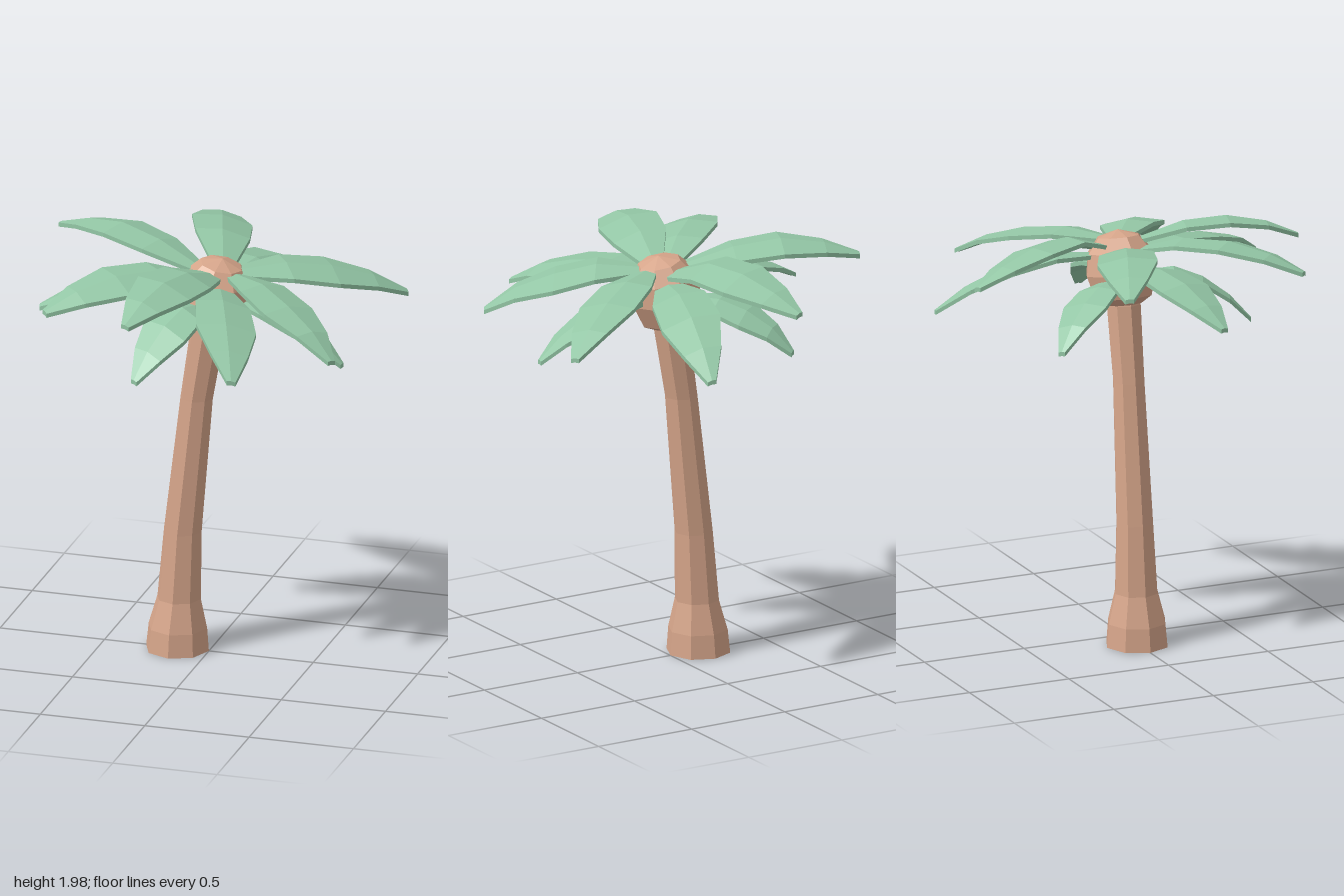
import * as THREE from 'three';

const bark = new THREE.MeshStandardMaterial({ color: 0xd6a58a, flatShading: true, side: THREE.DoubleSide });
const green = new THREE.MeshStandardMaterial({ color: 0x93c6a5, flatShading: true });

// Skin a list of closed rings (arrays of Vector3), optionally capping both ends
function loft(rings, capped) {
  const n = rings[0].length, pts = [];
  for (let i = 0; i < rings.length - 1; i++) {
    for (let j = 0; j < n; j++) {
      const k = (j + 1) % n;
      const a = rings[i][j], b = rings[i + 1][j], c = rings[i + 1][k], d = rings[i][k];
      pts.push(a, b, d, b, c, d);
    }
  }
  if (capped) {
    const first = rings[0], last = rings[rings.length - 1];
    for (let k = 1; k < n - 1; k++) {
      pts.push(first[0], first[k], first[k + 1], last[0], last[k + 1], last[k]);
    }
  }
  const geometry = new THREE.BufferGeometry().setFromPoints(pts);
  geometry.computeVertexNormals();
  return geometry;
}

// Horizontal octagon
function octagon(x, y, r) {
  return Array.from({ length: 8 }, (_, i) => {
    const a = (i * Math.PI) / 4;
    return new THREE.Vector3(x + r * Math.cos(a), y, r * Math.sin(a));
  });
}

// Frond: thin creased blade from base [x, z] to tip [x, z], with heights along its length
const STATIONS = [0, 0.28, 0.55, 0.8, 1];
const HALF_WIDTHS = [0.05, 0.125, 0.138, 0.088, 0.02];
const CROWN_TILT = 0.22;
const THICKNESS = 0.02;

function frondGeometry(base, tip, heights, widthScale) {
  const dx = tip[0] - base[0], dz = tip[1] - base[1], len = Math.hypot(dx, dz);
  const sx = dz / len, sz = -dx / len;
  const rings = STATIONS.map((t, i) => {
    const w = HALF_WIDTHS[i] * widthScale;
    const at = (s, drop) => new THREE.Vector3(
      base[0] + dx * t + sx * w * s,
      heights[i] - CROWN_TILT * sx * w * s - Math.abs(s) * w * 0.18 - drop,
      base[1] + dz * t + sz * w * s
    );
    return [at(-1, 0), at(0, 0), at(1, 0), at(1, THICKNESS), at(0, THICKNESS), at(-1, THICKNESS)];
  });
  return loft(rings, true);
}

export function createModel() {
  const palm = new THREE.Group();
  palm.name = 'palmTree';

  // Leaning trunk, flared at the foot: [centre x, y, radius]
  const trunkRings = [
    [-0.15, 0, 0.15], [-0.148, 0.11, 0.14], [-0.142, 0.25, 0.104], [-0.125, 0.58, 0.09],
    [-0.058, 1.24, 0.077], [0, 1.6, 0.084], [0.01, 1.65, 0.08],
  ].map(([x, y, r]) => octagon(x, y, r));
  const trunk = new THREE.Mesh(loft(trunkRings, false), bark);
  trunk.name = 'trunk';
  palm.add(trunk);

  // Bulb at the top of the trunk: [y, radius]
  const bulbRings = [
    [-0.165, 0.085], [-0.13, 0.14], [-0.02, 0.172], [0.08, 0.155], [0.15, 0.1], [0.18, 0.001],
  ].map(([y, r]) => octagon(0, y, r));
  const bulb = new THREE.Mesh(loft(bulbRings, true), bark);
  bulb.name = 'crownBulb';
  bulb.position.set(0.03, 1.755, 0);
  bulb.rotation.z = -0.2;
  palm.add(bulb);

  // Fronds: base, tip, heights, width scale
  const fronds = [
    [[0.04, -0.09], [-0.19, -0.82], [1.88, 1.96, 1.95, 1.9, 1.835], 1],
    [[0.08, -0.09], [0.28, -0.82], [1.83, 1.84, 1.79, 1.7, 1.59], 1],
    [[0.14, -0.02], [0.805, -0.475], [1.88, 1.89, 1.85, 1.78, 1.69], 1],
    [[0.14, 0.04], [0.725, 0.45], [1.88, 1.89, 1.84, 1.77, 1.67], 1],
    [[0.08, 0.09], [0.355, 0.81], [1.83, 1.845, 1.81, 1.75, 1.66], 1],
    [[0.04, 0.09], [-0.155, 0.805], [1.89, 1.96, 1.975, 1.94, 1.875], 1],
    [[-0.01, 0.06], [-0.59, 0.64], [1.86, 1.93, 1.94, 1.9, 1.835], 1],
    [[-0.09, 0.02], [-0.76, 0.165], [1.8, 1.83, 1.81, 1.75, 1.675], 0.95],
    [[-0.06, -0.02], [-0.81, -0.335], [1.88, 1.95, 1.98, 1.95, 1.895], 1],
    // Lower, shorter fronds
    [[-0.06, -0.08], [-0.365, -0.475], [1.74, 1.74, 1.7, 1.63, 1.53], 0.8],
    [[0.14, 0], [0.66, 0.07], [1.75, 1.74, 1.69, 1.61, 1.51], 0.78],
    [[0, 0.1], [-0.19, 0.555], [1.74, 1.76, 1.71, 1.62, 1.51], 0.85],
  ];
  fronds.forEach((args, i) => {
    const frond = new THREE.Mesh(frondGeometry(...args), green);
    frond.name = `frond${i + 1}`;
    palm.add(frond);
  });

  return palm;
}
